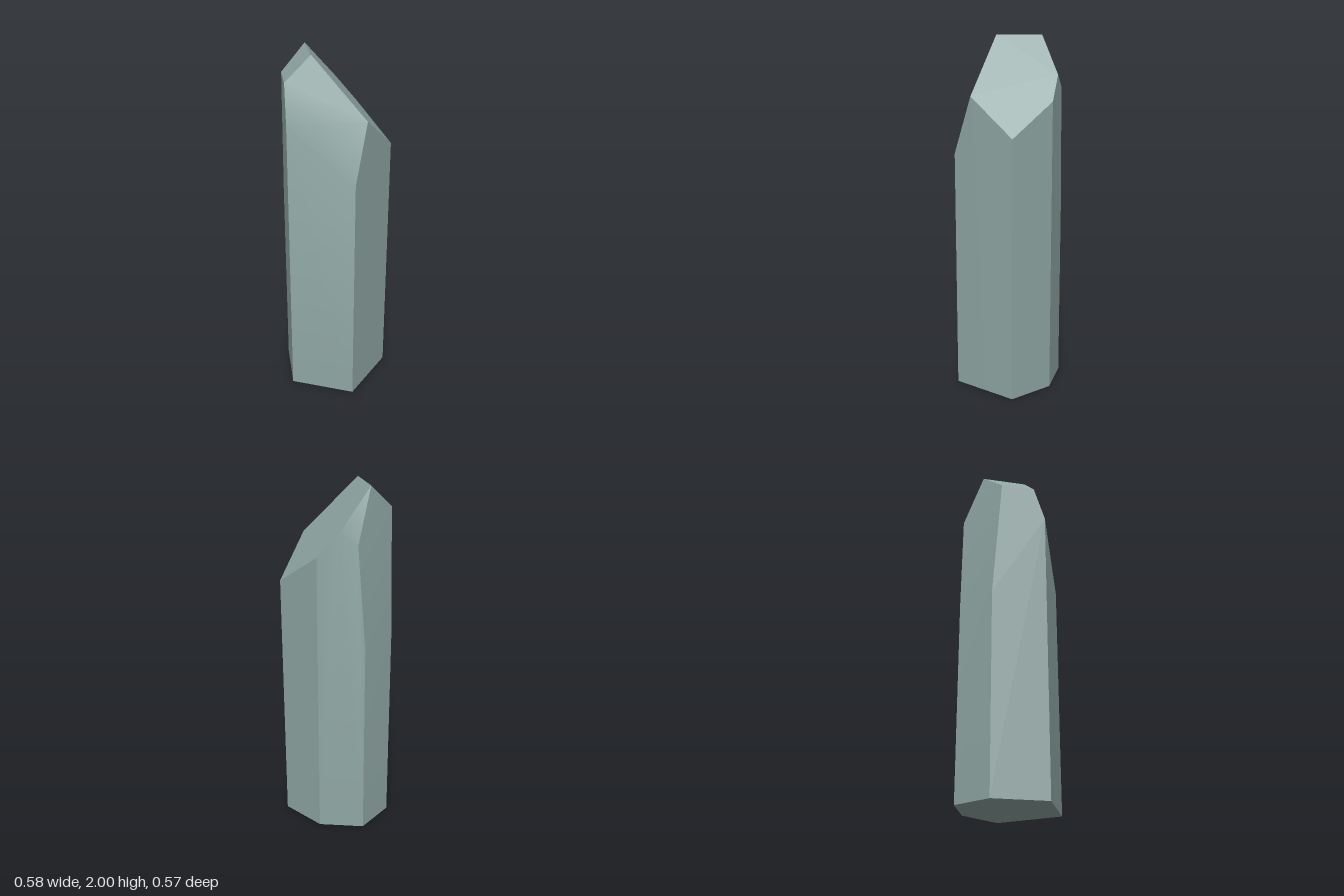
import * as THREE from 'three';
import { ConvexGeometry } from 'three/addons/geometries/ConvexGeometry.js';
import { toCreasedNormals } from 'three/addons/utils/BufferGeometryUtils.js';

// Six-sided shaft: x, z of each corner and the height at which its edge ends
const shaft = [
  [-0.08, -0.287, 1.15],
  [0.16, -0.27, 1.14],
  [0.288, -0.047, 1.652],
  [0.253, 0.225, 1.47],
  [-0.138, 0.285, 1.36],
  [-0.29, -0.058, 1.665],
];

// Corners of the cut tip: x, y, z
const tip = [
  [-0.126, 2, -0.025], // ridge, front end
  [0.046, 2, -0.219], // ridge, back end
  [-0.022, 1.679, 0.268],
  [-0.246, 1.865, -0.105],
  [-0.115, 1.868, -0.247],
  [0.182, 1.72, -0.233],
  [0.228, 1.788, -0.153],
];

export function createModel() {
  const points = tip.map((p) => new THREE.Vector3(...p));
  for (const [x, z, top] of shaft) {
    points.push(new THREE.Vector3(x, 0, z), new THREE.Vector3(x, top, z));
  }

  // Facets meeting at a shallow angle blend, the others stay sharp
  const geometry = toCreasedNormals(new ConvexGeometry(points), THREE.MathUtils.degToRad(30));
  const crystal = new THREE.Mesh(geometry, new THREE.MeshStandardMaterial({ color: 0x8fa6a3 }));
  crystal.name = 'crystal';

  const group = new THREE.Group();
  group.name = 'crystalShard';
  group.add(crystal);
  return group;
}
